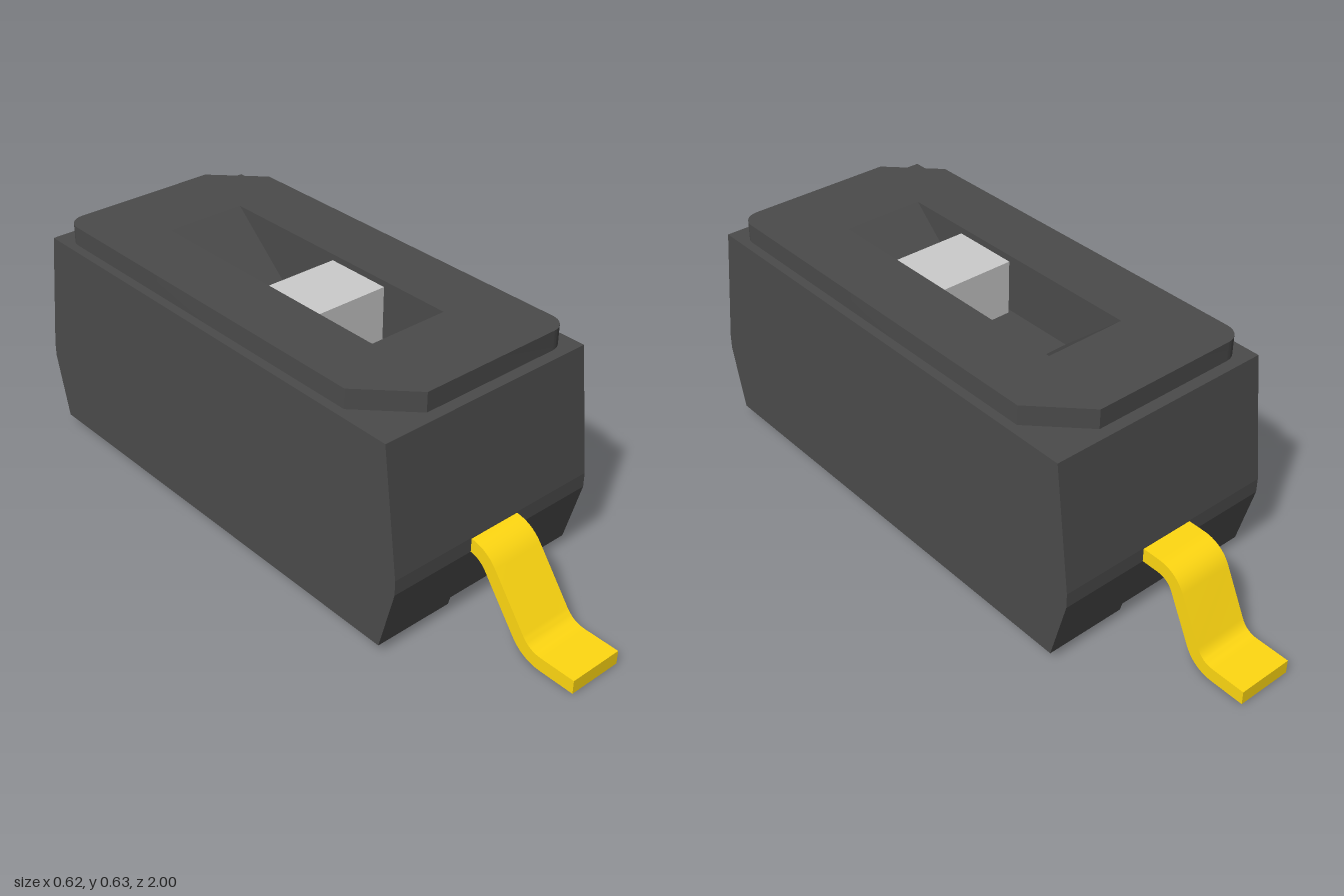
import * as THREE from 'three';
import { toCreasedNormals } from 'three/addons/utils/BufferGeometryUtils.js';

const plastic = new THREE.MeshStandardMaterial({ color: 0x4b4b4b });
const gold = new THREE.MeshStandardMaterial({ color: 0xffd811 });
const grey = new THREE.MeshStandardMaterial({ color: 0xcccccc });

const SLOT = { x0: -0.115, x1: 0.11, z0: -0.38, z1: 0.375 };
const FLOOR = 0.47, DECK = 0.575, TOP = 0.627, BASE = 0.027;

function mesh(name, geometry, material) {
  const m = new THREE.Mesh(geometry, material);
  m.name = name;
  return m;
}

// Extrudes a [z, y] outline along x, from x0 to x1
function extrudeAcross(points, x0, x1) {
  const shape = new THREE.Shape(points.map(([z, y]) => new THREE.Vector2(z, y)));
  return new THREE.ExtrudeGeometry(shape, { depth: x1 - x0, bevelEnabled: false })
    .rotateY(-Math.PI / 2)
    .translate(x1, 0, 0);
}

// Side outline of the housing, optionally with the ramped slot and the base notches
function housingOutline(slot, notch) {
  const bottom = notch
    ? [[-0.636, 0.05], [-0.45, 0.05], [-0.45, BASE], [0.45, BASE], [0.45, 0.05], [0.636, 0.05]]
    : [[-0.63, BASE], [0.63, BASE]];
  const ramp = slot
    ? [[SLOT.z1, DECK], [SLOT.z1, TOP], [0.2, FLOOR], [-0.2, FLOOR], [SLOT.z0, TOP], [SLOT.z0, DECK]]
    : [];
  return [...bottom, [0.675, 0.2], [0.675, 0.24], [0.63, DECK], ...ramp,
    [-0.63, DECK], [-0.675, 0.24], [-0.675, 0.2]];
}

// Housing in slices across x, so the slot and notches are real recesses
function makeHousing() {
  const group = new THREE.Group();
  group.name = 'housing';
  const slices = [
    ['rightSide', -0.3125, SLOT.x0, false, false],
    ['slotRight', SLOT.x0, -0.09, true, false],
    ['slotMiddle', -0.09, 0.09, true, true],
    ['slotLeft', 0.09, SLOT.x1, true, false],
    ['leftSide', SLOT.x1, 0.3125, false, false],
  ];
  for (const [name, x0, x1, slot, notch] of slices) {
    group.add(mesh(name, extrudeAcross(housingOutline(slot, notch), x0, x1), plastic));
  }
  return group;
}

// Raised top plate: two chamfered and two rounded corners, slot cut through
function makeTopPlate() {
  const w = 0.288, l = 0.6, c = 0.125, r = 0.05;
  const s = new THREE.Shape();
  s.moveTo(-w + c, l);
  s.lineTo(w - r, l);
  s.absarc(w - r, l - r, r, Math.PI / 2, 0, true);
  s.lineTo(w, -l + c);
  s.lineTo(w - c, -l);
  s.lineTo(-w + r, -l);
  s.absarc(-w + r, -l + r, r, -Math.PI / 2, -Math.PI, true);
  s.lineTo(-w, l - c);
  s.closePath();
  s.holes.push(new THREE.Path([
    [SLOT.x0, SLOT.z0], [SLOT.x1, SLOT.z0], [SLOT.x1, SLOT.z1], [SLOT.x0, SLOT.z1],
  ].map(([x, z]) => new THREE.Vector2(x, z))));
  const geo = new THREE.ExtrudeGeometry(s, { depth: TOP - DECK, bevelEnabled: false, curveSegments: 8 })
    .rotateX(Math.PI / 2)
    .translate(0, TOP, 0);
  return mesh('topPlate', toCreasedNormals(geo, 0.5), plastic);
}

// Bent metal strip: centre line with rounded bends, thickened to both sides
function makeLead(name, corners) {
  const t = 0.0185, bend = 0.045, steps = 8;
  const p = corners.map(([z, y]) => new THREE.Vector2(z, y));
  const line = [p[0]];
  for (let i = 1; i < p.length - 1; i++) {
    const a = p[i].clone().add(p[i - 1].clone().sub(p[i]).setLength(bend));
    const b = p[i].clone().add(p[i + 1].clone().sub(p[i]).setLength(bend));
    line.push(...new THREE.QuadraticBezierCurve(a, p[i], b).getPoints(steps));
  }
  line.push(p[p.length - 1]);
  const offset = (side) => line.map((q, i) => {
    const d = line[Math.min(i + 1, line.length - 1)].clone().sub(line[Math.max(i - 1, 0)]).normalize();
    return [q.x - d.y * t * side, q.y + d.x * t * side];
  });
  const geo = extrudeAcross([...offset(1), ...offset(-1).reverse()], -0.075, 0.075);
  return mesh(name, toCreasedNormals(geo, 0.6), gold);
}

export function createModel() {
  const model = new THREE.Group();
  model.name = 'slideSwitch';
  model.add(makeHousing(), makeTopPlate());

  // Slider knob resting on the slot floor
  const knob = new THREE.BoxGeometry(0.205, 0.15, 0.185).translate(-0.0025, 0.543, 0.0925);
  model.add(mesh('sliderKnob', knob, grey));

  // Front and back leads
  model.add(makeLead('frontLead', [[1, 0.0185], [0.86, 0.0185], [0.71, 0.219], [0.6, 0.219]]));
  model.add(makeLead('backLead', [[-1, 0.0185], [-0.865, 0.0185], [-0.765, 0.219], [-0.6, 0.219]]));
  return model;
}
